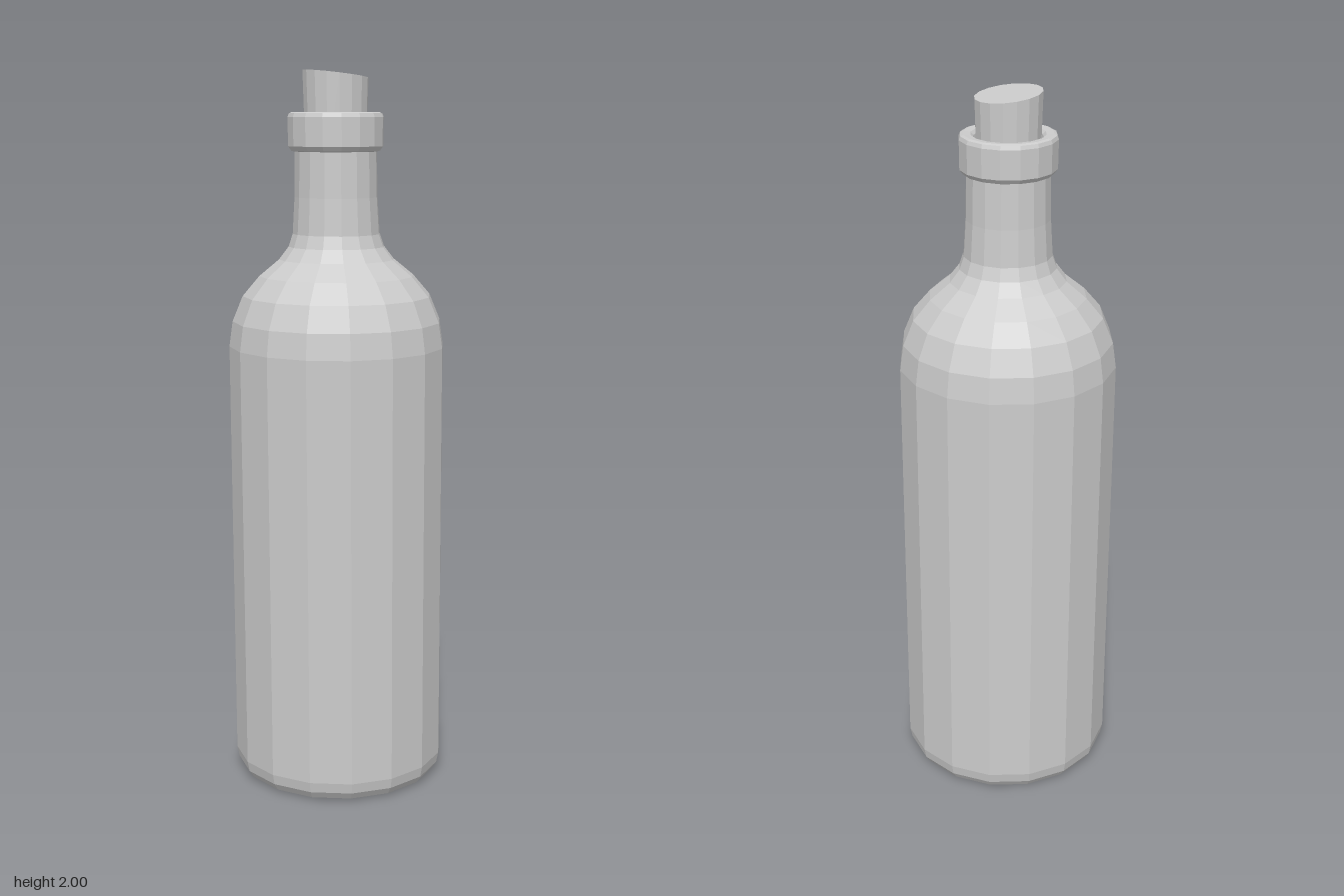
import * as THREE from 'three';

const SIDES = 16;

// The whole bottle leans very slightly as it rises.
function lean(geometry) {
  const p = geometry.attributes.position;
  for (let i = 0; i < p.count; i++) {
    const y = p.getY(i);
    p.setX(i, p.getX(i) + 0.002 - 0.003 * y);
    p.setZ(i, p.getZ(i) - 0.004 + 0.007 * y);
  }
  geometry.computeVertexNormals();
  return geometry;
}

export function createModel() {
  const group = new THREE.Group();
  const material = new THREE.MeshStandardMaterial({ color: 0xcccccc, flatShading: true });

  function add(name, geometry) {
    const mesh = new THREE.Mesh(lean(geometry), material);
    mesh.name = name;
    group.add(mesh);
  }

  // Lathed part; profile given as [radius, height] from the bottom up.
  const lathe = (profile) =>
    new THREE.LatheGeometry(profile.map(([r, y]) => new THREE.Vector2(r, y)), SIDES);

  // Body: hollow in the base, rounded foot, straight wall, shoulder and neck
  add('bottle', lathe([
    [0, 0.06], [0.06, 0.053], [0.1, 0.035], [0.125, 0.012], [0.145, 0.004],
    [0.255, 0], [0.28, 0.008], [0.295, 0.03], [0.301, 0.06],
    [0.301, 1.25], [0.291, 1.32], [0.262, 1.39], [0.215, 1.445],
    [0.16, 1.49], [0.133, 1.525], [0.121, 1.56], [0.115, 1.66], [0.113, 1.79],
  ]));

  // Lip: bevelled ring around the mouth, turning inwards to the cork
  add('lip', lathe([
    [0.11, 1.782], [0.122, 1.785], [0.131, 1.797], [0.132, 1.875],
    [0.128, 1.885], [0.12, 1.888], [0.1, 1.886], [0.092, 1.878], [0.086, 1.84],
  ]));

  // Cork: slightly tapered plug with a slanted top
  const cork = new THREE.CylinderGeometry(0.09, 0.083, 0.24, SIDES);
  cork.translate(0, 1.869, 0);
  const p = cork.attributes.position;
  for (let i = 0; i < p.count; i++) {
    if (p.getY(i) > 1.9) p.setY(i, 1.989 - 0.1 * p.getX(i) + 0.06 * p.getZ(i));
  }
  add('cork', cork);

  return group;
}
